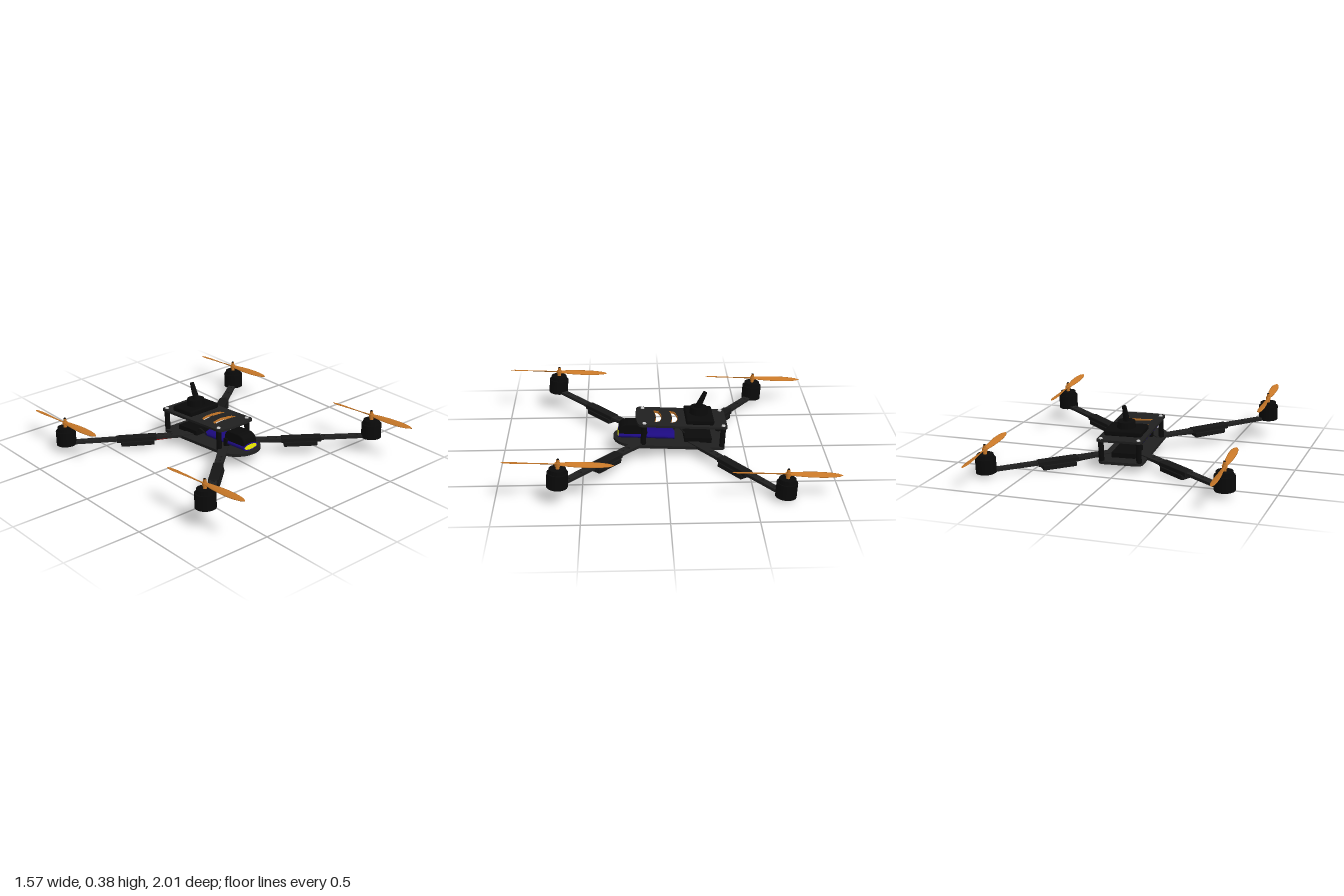
import * as THREE from 'three';
import { RoundedBoxGeometry } from 'three/addons/geometries/RoundedBoxGeometry.js';

const mat = color => new THREE.MeshStandardMaterial({ color });
const carbon = mat(0x202020), black = mat(0x0a0a0a), rubber = mat(0x161616), orange = mat(0xc87828);
const purple = mat(0x1c0a80), yellow = mat(0xf0f000), steel = mat(0xcccccc), red = mat(0xa01818);

function add(parent, name, geometry, material, x = 0, y = 0, z = 0) {
  const mesh = new THREE.Mesh(geometry, material);
  mesh.name = name;
  mesh.position.set(x, y, z);
  parent.add(mesh);
  return mesh;
}

// Flat sheet lying on the ground plane; shape y points to -z
const sheet = (shape, h) =>
  new THREE.ExtrudeGeometry(shape, { depth: h, bevelEnabled: false, curveSegments: 20 }).rotateX(-Math.PI / 2);

const hole = (x, y, r) => new THREE.Path().absarc(x, y, r, 0, Math.PI * 2, true);

const tube = (points, r) => new THREE.TubeGeometry(
  new THREE.CatmullRomCurve3(points.map(p => new THREE.Vector3(...p))), 14, r, 6);

// Crescent-shaped outline used for the strap slots, g grows it outwards
function crescent(Kind, z, g = 0) {
  const p = new Kind(), w = 0.09 + g;
  p.moveTo(-w, -z - 0.02 - g);
  p.quadraticCurveTo(0, -z + 0.004 - g, w, -z - 0.02 - g);
  p.lineTo(w - 0.012, -z + 0.01 + g);
  p.quadraticCurveTo(0, -z + 0.046 + g, -w + 0.012, -z + 0.01 + g);
  p.closePath();
  return p;
}

function basePlateShape() {
  const s = new THREE.Shape(), w = 0.14;
  s.moveTo(-w, -0.17);
  s.absarc(0, -0.17, w, Math.PI, Math.PI * 2, false);
  s.lineTo(w, 0.34);
  s.quadraticCurveTo(w, 0.38, w - 0.04, 0.38);
  s.lineTo(-w + 0.04, 0.38);
  s.quadraticCurveTo(-w, 0.38, -w, 0.34);
  s.closePath();
  return s;
}

function topPlateShape() {
  const s = new THREE.Shape(), w = 0.142;
  s.moveTo(-w, -0.14);
  s.quadraticCurveTo(-w, -0.165, -w + 0.03, -0.17);
  s.quadraticCurveTo(0, -0.185, w - 0.03, -0.17);
  s.quadraticCurveTo(w, -0.165, w, -0.14);
  s.lineTo(w, 0.36);
  s.quadraticCurveTo(w, 0.385, w - 0.025, 0.385);
  s.lineTo(-w + 0.025, 0.385);
  s.quadraticCurveTo(-w, 0.385, -w, 0.36);
  s.closePath();
  for (const z of [-0.055, 0.045]) s.holes.push(crescent(THREE.Path, z));
  return s;
}

// Propeller blade along +z: thin oval sections with twist, rounded tip
function bladeGeometry() {
  const rows = 14, n = 10, pos = [], idx = [];
  for (let i = 0; i <= rows; i++) {
    const t = i / rows;
    const chord = Math.max(0.001, (0.01 + 0.014 * Math.sin(Math.PI * t * 0.75)) * Math.sqrt(1 - t ** 8));
    const pitch = 0.6 - 0.45 * t, thick = 0.004 * (1 - 0.6 * t);
    for (let j = 0; j < n; j++) {
      const a = (j / n) * Math.PI * 2, u = Math.cos(a) * chord, v = Math.sin(a) * thick;
      pos.push(u * Math.cos(pitch) - v * Math.sin(pitch), u * Math.sin(pitch) + v * Math.cos(pitch), t * 0.321);
      if (i < rows) {
        const p = i * n + j, q = i * n + (j + 1) % n;
        idx.push(p, q, p + n, q, q + n, p + n);
      }
    }
  }
  const g = new THREE.BufferGeometry();
  g.setAttribute('position', new THREE.Float32BufferAttribute(pos, 3));
  g.setIndex(idx);
  g.computeVertexNormals();
  return g;
}

function makeMotor() {
  const g = new THREE.Group();
  g.name = 'motor';
  add(g, 'motorBell', new THREE.CylinderGeometry(0.062, 0.062, 0.09, 32), black, 0, 0.045);
  add(g, 'motorCap', new THREE.CylinderGeometry(0.05, 0.053, 0.024, 32), black, 0, 0.102);
  add(g, 'propellerShaft', new THREE.CylinderGeometry(0.009, 0.012, 0.058, 12), orange, 0, 0.141);
  add(g, 'propellerHub', new THREE.CylinderGeometry(0.016, 0.016, 0.02, 16), orange, 0, 0.14);
  add(g, 'propellerNut', new THREE.CylinderGeometry(0.006, 0.008, 0.006, 12), black, 0, 0.171);
  const blade = bladeGeometry();
  for (const turn of [0, Math.PI]) add(g, 'propellerBlade', blade, orange, 0, 0.142).rotation.y = turn;
  return g;
}

// Arm runs along +x from the motor towards the body
function makeArm(length, wireMaterial) {
  const g = new THREE.Group();
  g.name = 'arm';
  const s = new THREE.Shape();
  s.moveTo(0, -0.021);
  s.lineTo(length, -0.029);
  s.lineTo(length, 0.029);
  s.lineTo(0, 0.021);
  s.absarc(0, 0, 0.021, Math.PI / 2, Math.PI * 1.5, false);
  for (const d of [0.095, 0.2, 0.3, 0.6, 0.655]) s.holes.push(hole(d, 0, 0.012));
  add(g, 'armBeam', sheet(s, 0.018), carbon);
  add(g, 'speedControllerSleeve', new RoundedBoxGeometry(0.25, 0.03, 0.062, 2, 0.004), rubber, 0.44, 0.007);
  add(g, 'speedController', new RoundedBoxGeometry(0.21, 0.032, 0.072, 2, 0.006), rubber, 0.445, -0.018);
  for (const z of [-0.012, 0.012]) {
    add(g, 'powerWire', tube([[0.53, -0.012, z], [0.6, -0.006, z], [length, 0.004, z]], 0.004),
      z > 0 ? wireMaterial : black);
  }
  return g;
}

export function createModel() {
  const model = new THREE.Group();
  model.name = 'quadcopter';
  const craft = new THREE.Group();
  craft.name = 'craft';
  craft.rotation.set(-0.0613, 0.03, -0.0143, 'YXZ');
  craft.position.set(0.005, 0.069, 0.01);
  model.add(craft);

  // Arms and motors: motor x, z and inner arm end x, z
  for (const [mx, mz, ix, iz, wire] of [
    [-0.703, 0.661, -0.075, 0.125, black], [0.693, 0.65, 0.075, 0.125, black],
    [-0.707, -0.649, -0.06, -0.175, red], [0.739, -0.665, 0.06, -0.175, black]]) {
    const dx = ix - mx, dz = iz - mz;
    const arm = makeArm(Math.hypot(dx, dz), wire);
    arm.position.set(mx, 0, mz);
    arm.rotation.y = Math.atan2(-dz, dx);
    const motor = makeMotor();
    motor.position.set(mx, 0, mz);
    craft.add(arm, motor);
  }

  // Frame plates and standoffs
  add(craft, 'basePlate', sheet(basePlateShape(), 0.018), carbon, 0, -0.006);
  add(craft, 'topPlate', sheet(topPlateShape(), 0.014), carbon, 0, 0.135);
  for (const z of [-0.055, 0.045]) {
    const rim = crescent(THREE.Shape, z, 0.002);
    rim.holes.push(crescent(THREE.Path, z, -0.001));
    add(craft, 'slotRim', sheet(rim, 0.0145), orange, 0, 0.1345);
  }
  for (const x of [-0.118, 0.118]) for (const z of [-0.36, 0.13]) {
    add(craft, 'standoff', new THREE.CylinderGeometry(0.017, 0.017, 0.126, 12), black, x, 0.073, z);
    add(craft, 'screw', new THREE.CylinderGeometry(0.011, 0.013, 0.006, 12), steel, x, 0.152, z);
  }

  // Battery with end cap and strap
  const pack = new THREE.Shape();
  pack.absellipse(0, 0, 0.06, 0.024, 0, Math.PI * 2, false);
  add(craft, 'battery', new THREE.ExtrudeGeometry(pack, { depth: 0.35, bevelEnabled: false, curveSegments: 24 }),
    purple, 0.003, 0.036, -0.068);
  add(craft, 'batteryCap', new THREE.CylinderGeometry(1, 1, 0.006, 32).rotateX(Math.PI / 2).scale(0.05, 0.016, 1),
    yellow, 0.003, 0.036, 0.281);
  add(craft, 'batteryStrap', new THREE.BoxGeometry(0.13, 0.05, 0.025), black, 0, 0.036, 0.125);

  // Domed housing above the battery
  const dome = new THREE.Shape();
  dome.moveTo(-0.274, 0.045);
  dome.lineTo(-0.274, 0.065);
  dome.quadraticCurveTo(-0.27, 0.107, -0.215, 0.107);
  dome.lineTo(-0.145, 0.107);
  dome.quadraticCurveTo(-0.108, 0.103, -0.108, 0.045);
  dome.closePath();
  add(craft, 'frontHousing', new THREE.ExtrudeGeometry(dome, { depth: 0.092, bevelSize: 0.006, bevelThickness: 0.006,
    bevelSegments: 2 }).rotateY(Math.PI / 2), black, -0.043);

  // Control board and wiring
  add(craft, 'controlBoard', new THREE.BoxGeometry(0.15, 0.03, 0.17), black, 0, 0.027, -0.215);
  for (const x of [-0.06, 0]) {
    add(craft, 'batteryWire', tube([[x, 0.04, -0.05], [x - 0.02, 0.074, -0.085], [x, 0.035, -0.14]], 0.005), rubber);
  }

  // Receiver box and tilted antenna
  add(craft, 'receiverBox', new RoundedBoxGeometry(0.235, 0.036, 0.175, 2, 0.012), black, 0, 0.165, -0.215);
  add(craft, 'antennaBase', new THREE.CylinderGeometry(0.054, 0.058, 0.045, 24), black, 0, 0.2, -0.212);
  const antenna = new THREE.Group();
  antenna.name = 'antenna';
  antenna.position.set(0, 0.207, -0.2);
  antenna.rotation.x = -0.37;
  add(antenna, 'antennaCollar', new THREE.CylinderGeometry(0.021, 0.024, 0.03, 16), black, 0, 0.015);
  add(antenna, 'antennaRod', new THREE.CylinderGeometry(0.013, 0.02, 0.1, 16), black, 0, 0.074);
  craft.add(antenna);
  return model;
}
